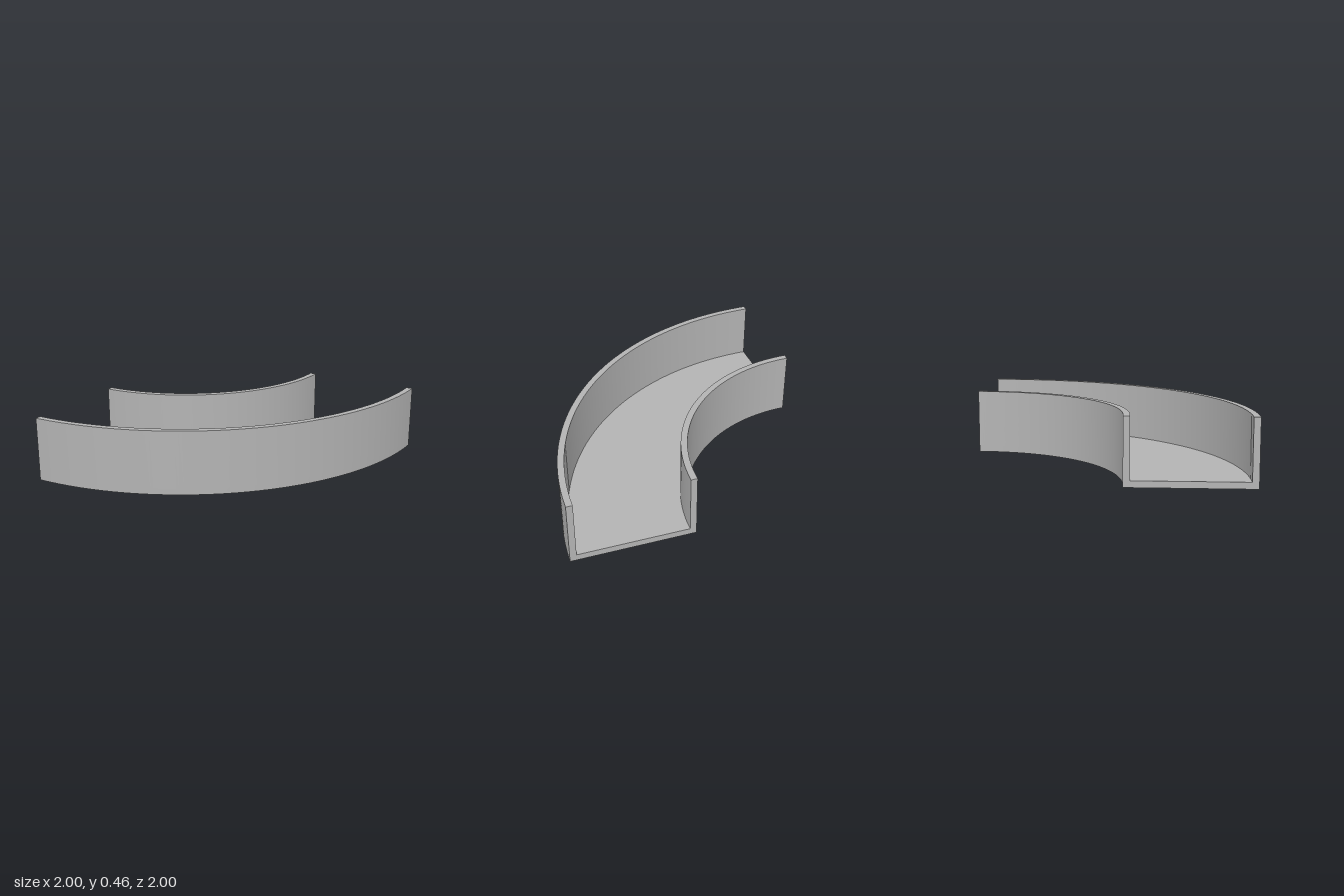
import * as THREE from 'three';
import { toCreasedNormals } from 'three/addons/utils/BufferGeometryUtils.js';

const INNER = 1.14, OUTER = 2, WALL = 0.045, HEIGHT = 0.46;
const FLOOR = 0.045, HOLE_DEPTH = 0.035, HOLE_RADIUS = 0.023;

// Quarter ring about the bend centre
function quarterRing(r0, r1) {
  const shape = new THREE.Shape();
  shape.absarc(0, 0, r1, 0, Math.PI / 2, false);
  shape.absarc(0, 0, r0, Math.PI / 2, 0, true);
  shape.closePath();
  return shape;
}

// Stand a shape up between two heights, with the bend centre in the corner
function extrudeUp(shape, bottom, top) {
  const geometry = new THREE.ExtrudeGeometry(shape, {
    depth: top - bottom, bevelEnabled: false, curveSegments: 48,
  });
  geometry.rotateX(Math.PI / 2).translate(-1, top, -1);
  return toCreasedNormals(geometry, 0.5);
}

export function createModel() {
  const group = new THREE.Group();
  group.name = 'curvedChannel';
  const grey = new THREE.MeshStandardMaterial({ color: 0xb3b3b3 });
  grey.name = 'grey';

  const add = (name, shape, bottom, top) => {
    const mesh = new THREE.Mesh(extrudeUp(shape, bottom, top), grey);
    mesh.name = name;
    group.add(mesh);
  };

  // Underside with two blind screw holes near each end
  const underside = quarterRing(INNER, OUTER);
  for (const angle of [0.0775, Math.PI / 2 - 0.0775]) {
    for (const radius of [1.38, 1.76]) {
      const hole = new THREE.Path();
      hole.absarc(radius * Math.cos(angle), radius * Math.sin(angle), HOLE_RADIUS, 0, Math.PI * 2, true);
      underside.holes.push(hole);
    }
  }
  add('floorUnderside', underside, 0, HOLE_DEPTH);
  add('floor', quarterRing(INNER, OUTER), HOLE_DEPTH, FLOOR);

  // Side walls
  add('innerWall', quarterRing(INNER, INNER + WALL), FLOOR, HEIGHT);
  add('outerWall', quarterRing(OUTER - WALL, OUTER), FLOOR, HEIGHT);
  return group;
}
